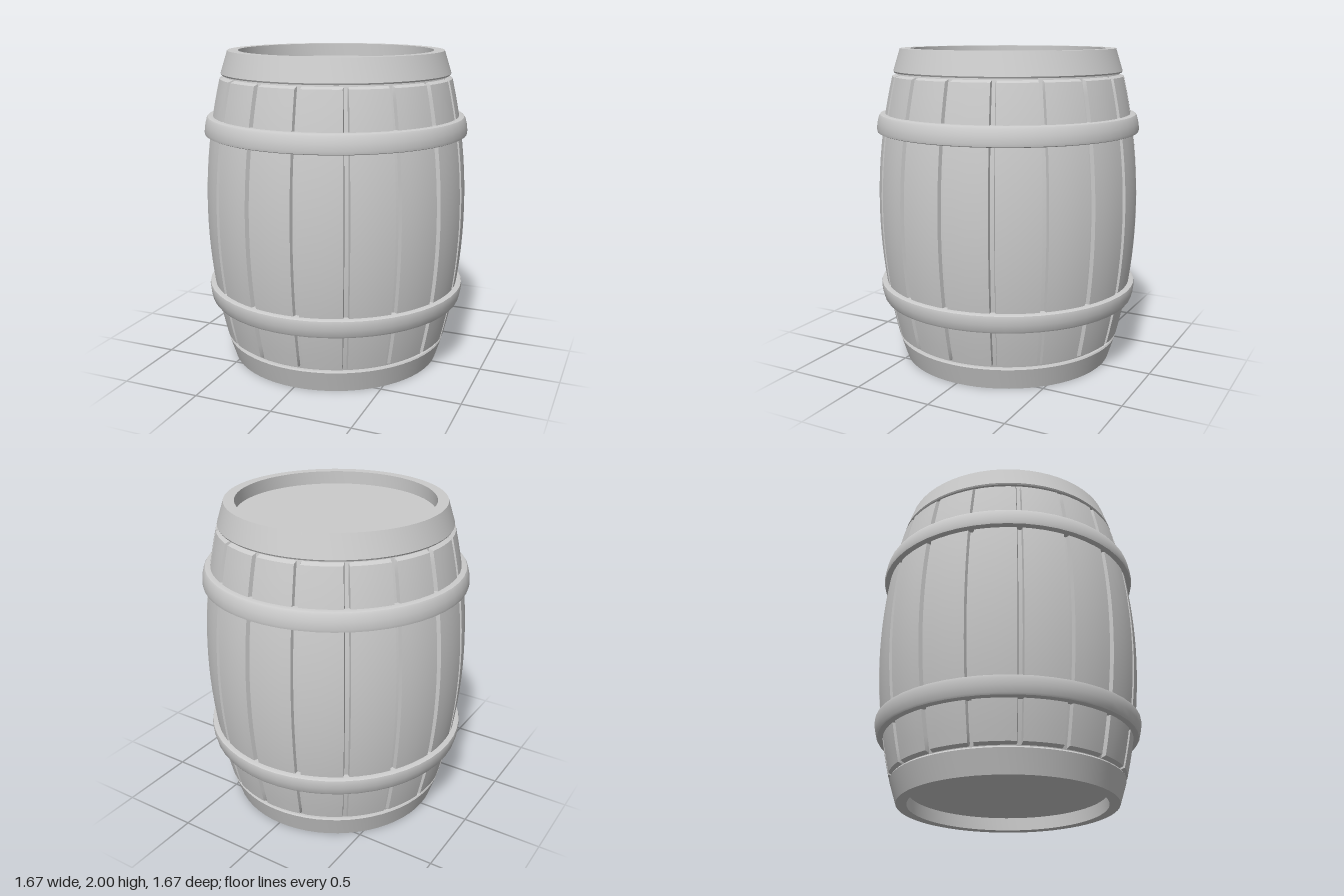
import * as THREE from 'three';
import { toCreasedNormals } from 'three/addons/utils/BufferGeometryUtils.js';

const STAVES = 17;
const material = new THREE.MeshStandardMaterial({ color: 0xcccccc });

// Bulging outer radius of the barrel at a given height
const bulge = (y) => 0.832 - 0.148 * (y - 1) ** 2;

function addMesh(parent, name, geometry) {
  const mesh = new THREE.Mesh(geometry, material);
  mesh.name = name;
  parent.add(mesh);
  return mesh;
}

function lathe(points, segments) {
  const profile = points.map(([r, y]) => new THREE.Vector2(r, y));
  return toCreasedNormals(new THREE.LatheGeometry(profile, segments), 0.6);
}

// Curved staves with a narrow groove between neighbours
function staveGeometry() {
  const depth = 0.026;
  const step = (Math.PI * 2) / STAVES;

  // Columns around the barrel: [angle, is groove floor]
  const columns = [];
  for (let i = 0; i < STAVES; i++) {
    const a = Math.PI / 2 + i * step;
    columns.push([a - 0.023, false], [a - 0.015, true], [a + 0.015, true], [a + 0.023, false]);
    for (let k = 1; k <= 3; k++) columns.push([a + (step * k) / 4, false]);
  }
  columns.push([columns[0][0] + Math.PI * 2, false]);

  // Rows from top to bottom: [height, is groove floor]
  const rows = [[1.855, true], [1.842, true]];
  for (let i = 0; i <= 20; i++) rows.push([1.83 - (1.66 * i) / 20, false]);
  rows.push([0.158, true], [0.145, true]);

  const geometry = new THREE.CylinderGeometry(1, 1, 1, columns.length - 1, rows.length - 1, true);
  const position = geometry.attributes.position;
  rows.forEach(([y, lowRow], j) => {
    columns.forEach(([a, lowColumn], i) => {
      const r = bulge(y) - (lowRow || lowColumn ? depth : 0);
      position.setXYZ(j * columns.length + i, r * Math.sin(a), y, r * Math.cos(a));
    });
  });
  return toCreasedNormals(geometry, 0.5);
}

// Rim, recessed head and hoop of the upper half
function barrelEnd(name) {
  const end = new THREE.Group();
  end.name = name;
  addMesh(end, 'rim', lathe([
    [0.685, 1.853], [0.717, 1.853], [0.722, 1.862], [0.678, 2], [0.612, 2], [0.612, 1.905],
  ], 64));

  const head = addMesh(end, 'head', new THREE.CircleGeometry(0.615, 64).rotateX(-Math.PI / 2));
  head.position.y = 1.917;

  addMesh(end, 'hoop', lathe([
    [0.76, 1.483], [0.82, 1.483], [0.831, 1.488], [0.834, 1.505], [0.829, 1.545],
    [0.819, 1.585], [0.812, 1.596], [0.80, 1.6], [0.76, 1.6],
  ], 51));
  return end;
}

export function createModel() {
  const barrel = new THREE.Group();
  barrel.name = 'barrel';
  addMesh(barrel, 'staves', staveGeometry());
  barrel.add(barrelEnd('topEnd'));

  // The bottom is the top turned over
  const bottom = barrelEnd('bottomEnd');
  bottom.rotation.x = Math.PI;
  bottom.position.y = 2;
  barrel.add(bottom);
  return barrel;
}
